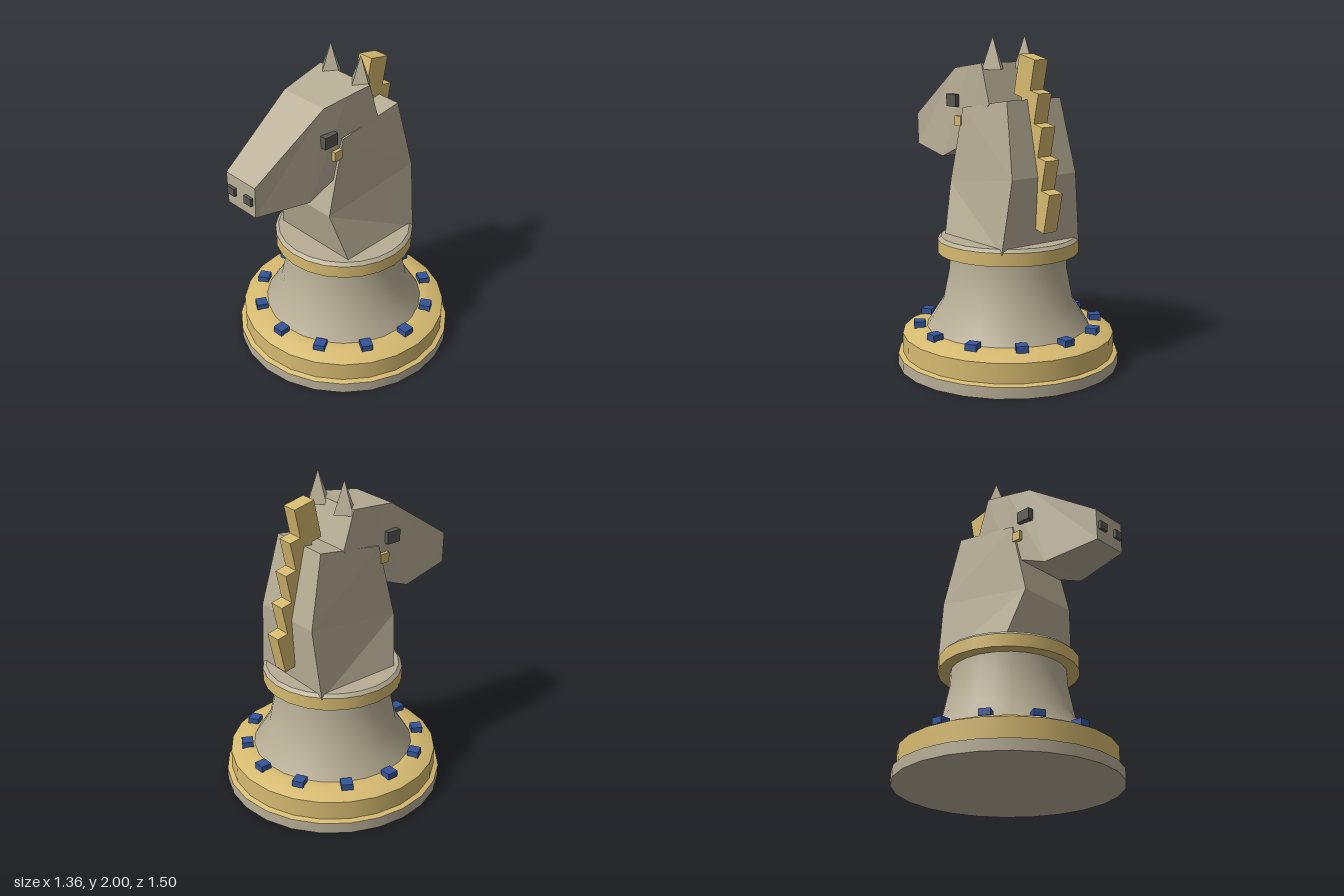
import * as THREE from 'three';

const material = (name, color, extra = {}) => {
  const m = new THREE.MeshStandardMaterial({ color, ...extra });
  m.name = name;
  return m;
};

// Loft through four-cornered rings; each ring is two mirrored edges [z, y, halfWidth]
function loft(rings) {
  const corners = rings.map(([p, q]) => [
    [p[2], p[1], p[0]], [-p[2], p[1], p[0]], [-q[2], q[1], q[0]], [q[2], q[1], q[0]],
  ]);
  const pos = [];
  const quad = (a, b, c, d) => pos.push(...a, ...b, ...c, ...a, ...c, ...d);
  for (let i = 0; i < corners.length - 1; i++) {
    const a = corners[i], b = corners[i + 1];
    for (let k = 0; k < 4; k++) {
      const n = (k + 1) % 4;
      // mirrored diagonals keep both sides alike
      if (k === 3) quad(a[n], b[n], b[k], a[k]);
      else quad(a[k], a[n], b[n], b[k]);
    }
  }
  const s = corners[0], e = corners[corners.length - 1];
  quad(s[3], s[2], s[1], s[0]);
  quad(e[0], e[1], e[2], e[3]);
  const g = new THREE.BufferGeometry();
  g.setAttribute('position', new THREE.Float32BufferAttribute(pos, 3));
  g.computeVertexNormals();
  return g;
}

export function createModel() {
  const stone = material('stone', 0xb8ae96);
  const gold = material('gold', 0xd6ba70);
  const dark = material('dark', 0x5a5753);
  const blue = material('blue', 0x34549a);

  const model = new THREE.Group();
  const axisZ = -0.07;

  const add = (name, geometry, mat, x = 0, y = 0, z = 0) => {
    const mesh = new THREE.Mesh(geometry, mat);
    mesh.name = name;
    mesh.position.set(x, y, z);
    model.add(mesh);
    return mesh;
  };
  // Each turned band is its own lathe, so edges between bands stay sharp
  const turned = (name, mat, ...profile) => add(name,
    new THREE.LatheGeometry(profile.map(([r, y]) => new THREE.Vector2(r, y)), 24),
    mat, 0, 0, axisZ);
  const box = (name, mat, w, h, d, x, y, z) =>
    add(name, new THREE.BoxGeometry(w, h, d), mat, x, y, z);

  // Turned pedestal
  turned('baseUnderside', stone, [0, 0], [0.68, 0]);
  turned('baseFoot', stone, [0.68, 0], [0.68, 0.07]);
  turned('baseLedge', gold, [0.68, 0.07], [0.65, 0.08]);
  turned('baseBand', gold, [0.65, 0.08], [0.65, 0.2]);
  turned('baseShoulder', gold, [0.65, 0.2], [0.56, 0.24], [0.5, 0.24]);
  turned('pedestalStem', stone, [0.5, 0.24], [0.4, 0.4], [0.36, 0.6], [0.355, 0.7]);
  turned('collarUnderside', gold, [0.355, 0.7], [0.43, 0.7]);
  turned('collarBand', gold, [0.43, 0.7], [0.43, 0.78]);
  turned('collarBevel', stone, [0.43, 0.78], [0.41, 0.8]);
  turned('collarTop', stone, [0.41, 0.8], [0, 0.8]);

  // Ring of blue studs
  for (let i = 0; i < 12; i++) {
    const a = (i / 12) * Math.PI * 2;
    const stud = box('stud', blue, 0.07, 0.04, 0.07,
      Math.sin(a) * 0.545, 0.255, axisZ + Math.cos(a) * 0.545);
    stud.rotation.y = a;
  }

  // Neck: back and front edges, from bottom to top
  add('neck', loft([
    [[-0.385, 0.77, 0.295], [0.18, 0.79, 0.293]],
    [[-0.41, 1.2, 0.24], [0.25, 1.1, 0.2]],
    [[-0.31, 1.64, 0.2], [0.13, 1.57, 0.19]],
  ]), stone);

  // Head: top and bottom edges, from poll to muzzle
  add('head', loft([
    [[-0.07, 1.843, 0.2], [-0.145, 1.61, 0.2]],
    [[0.09, 1.822, 0.18], [0.1, 1.36, 0.18]],
    [[0.25, 1.8, 0.16], [0.375, 1.245, 0.17]],
    [[0.73, 1.48, 0.12], [0.73, 1.285, 0.115]],
  ]), stone);

  // Paired features
  const earShape = new THREE.ConeGeometry(0.08, 0.195, 4).toNonIndexed();
  earShape.computeVertexNormals();
  for (const s of [1, -1]) {
    add('ear', earShape, stone, s * 0.12, 1.9025, -0.075);
    box('eye', dark, 0.04, 0.075, 0.095, s * 0.185, 1.605, 0.233);
    box('cheekStud', gold, 0.04, 0.06, 0.06, s * 0.18, 1.485, 0.172);
    box('nostril', dark, 0.06, 0.05, 0.03, s * 0.07, 1.383, 0.733);
  }

  // Stepped mane
  for (let i = 0; i < 5; i++) {
    const tuft = box('maneTuft', gold, 0.1, 0.238, 0.14,
      0, 1.767 - i * 0.19, -0.28 - i * 0.035);
    tuft.rotation.x = -0.21;
  }

  return model;
}
